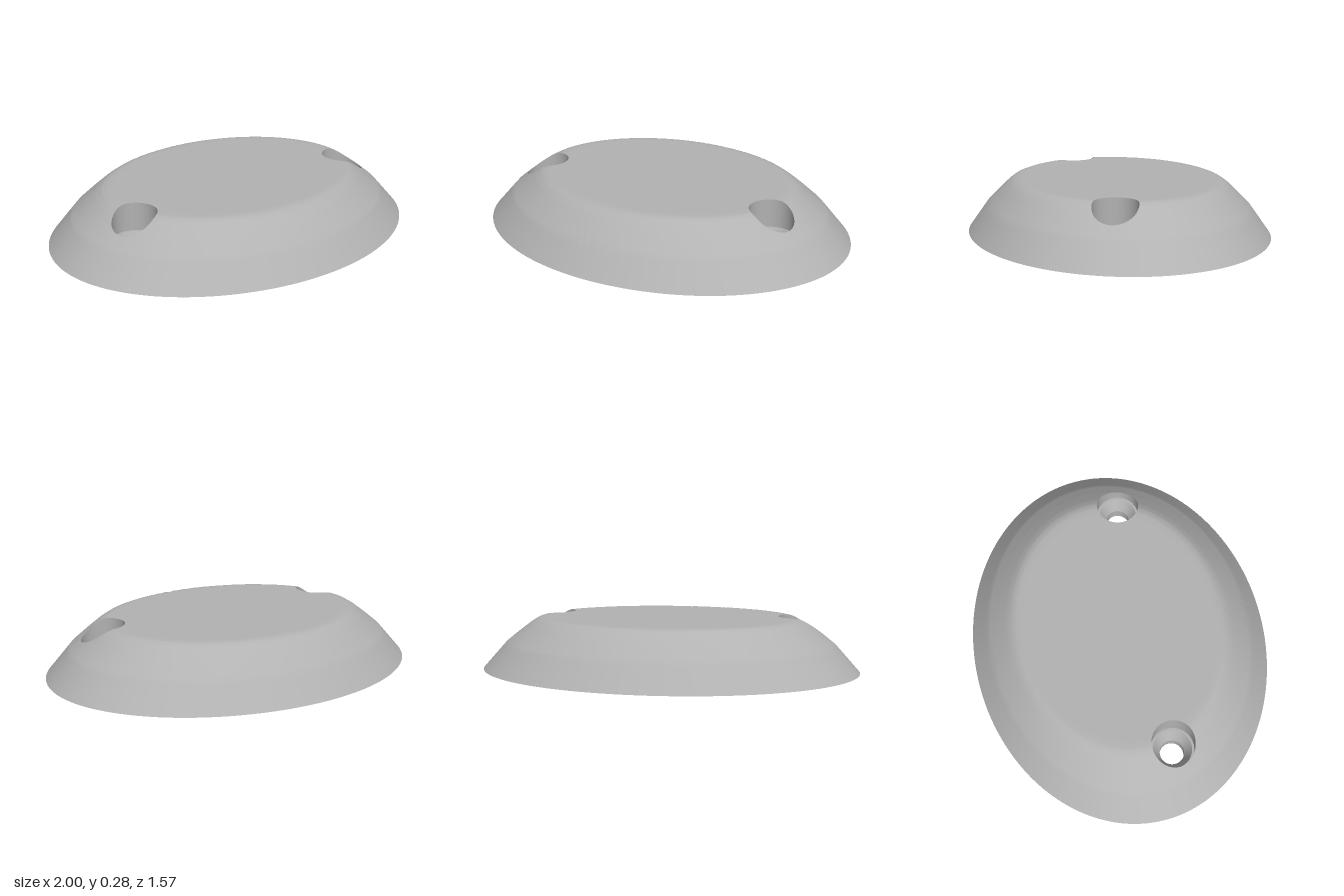
import * as THREE from 'three';

const A = 1, B = 0.785;                      // half axes of the oval base
const HOLE = { x: 0.675, z: 0.135, bore: 0.112, sink: 0.1, pin: 0.063 };
const LEDGE = 0.13, CONE = 0.06;             // heights inside the screw hole
// slope profile: fraction of the oval, height
const PROFILE = [[0.64, 0.277], [0.675, 0.275], [0.705, 0.266], [0.74, 0.245], [0.8, 0.2], [0.875, 0.14], [1, 0]];

function height(x, z) {
  const s = Math.hypot(x / A, z / B);
  if (s <= PROFILE[0][0]) return PROFILE[0][1];
  let i = 1;
  while (i < PROFILE.length - 1 && s > PROFILE[i][0]) i++;
  const [s0, y0] = PROFILE[i - 1], [s1, y1] = PROFILE[i];
  return y0 + (y1 - y0) * (s - s0) / (s1 - s0);
}

// outline of one half: half oval, then the straight middle line
function halfOutline() {
  const pts = [];
  for (let i = 0; i < 120; i++) {
    const t = -Math.PI / 2 + Math.PI * i / 120;
    pts.push([i ? A * Math.cos(t) : 0, B * Math.sin(t)]);
  }
  for (let i = 0; i < 40; i++) pts.push([0, B - 2 * B * i / 40]);
  return pts;
}

// closed loops of points joined into a surface; side = -1 mirrors it in x
function loft(rows, side) {
  const n = rows[0].length, pos = [], idx = [];
  rows.forEach(row => row.forEach(p => pos.push(p[0] * side, p[1], p[2])));
  for (let j = 0; j < rows.length - 1; j++) {
    for (let i = 0; i < n; i++) {
      const a = j * n + i, b = j * n + (i + 1) % n, c = a + n, d = b + n;
      if (side > 0) idx.push(a, b, c, b, d, c);
      else idx.push(a, c, b, b, c, d);
    }
  }
  const g = new THREE.BufferGeometry();
  g.setAttribute('position', new THREE.Float32BufferAttribute(pos, 3));
  g.setIndex(idx);
  g.computeVertexNormals();
  return g;
}

// smooth normals taken from the slope of the height rule
function slopeNormals(g) {
  const p = g.attributes.position, e = 0.012, v = new THREE.Vector3();
  for (let i = 0; i < p.count; i++) {
    const x = p.getX(i), z = p.getZ(i);
    v.set(height(x - e, z) - height(x + e, z), 2 * e, height(x, z - e) - height(x, z + e)).normalize();
    g.attributes.normal.setXYZ(i, v.x, v.y, v.z);
  }
  return g;
}

export function createModel() {
  const model = new THREE.Group();
  model.name = 'ovalCover';
  const grey = new THREE.MeshStandardMaterial({ color: 0xb2b2b2 });
  grey.name = 'grey';

  const outline = halfOutline();
  const dirs = outline.map(([x, z]) => {
    const dx = x - HOLE.x, dz = z - HOLE.z, l = Math.hypot(dx, dz);
    return [dx / l, dz / l];
  });
  // ring around the hole axis; without y it lies on the domed skin
  const ring = (r, y) => dirs.map(([dx, dz]) => {
    const x = HOLE.x + dx * r, z = HOLE.z + dz * r;
    return [x, y === undefined ? height(x, z) : y, z];
  });

  // domed skin rows, from the hole rim out to the outline
  const rim = ring(HOLE.bore);
  const skin = [];
  const ROWS = 48;
  for (let j = 0; j <= ROWS; j++) {
    const t = j / ROWS;
    skin.push(rim.map((p, i) => {
      const x = p[0] + (outline[i][0] - p[0]) * t, z = p[2] + (outline[i][1] - p[2]) * t;
      return [x, Math.max(0, height(x, z)), z];
    }));
  }
  const edge = outline.map(([x, z]) => [x, 0, z]);

  for (const side of [1, -1]) {
    const half = new THREE.Group();
    half.name = side > 0 ? 'leftHalf' : 'rightHalf';
    const add = (name, g) => {
      const m = new THREE.Mesh(g, grey);
      m.name = name;
      half.add(m);
    };
    add('domedSkin', slopeNormals(loft(skin, side)));
    add('base', loft([edge, ring(HOLE.pin, 0)], side));
    // stepped screw hole
    add('screwHole', loft([ring(HOLE.pin, 0), ring(HOLE.pin, CONE)], side));
    add('countersink', loft([ring(HOLE.pin, CONE), ring(HOLE.sink, LEDGE)], side));
    add('ledge', loft([ring(HOLE.sink, LEDGE), ring(HOLE.bore, LEDGE)], side));
    add('counterbore', loft([ring(HOLE.bore, LEDGE), rim], side));
    model.add(half);
  }
  return model;
}
